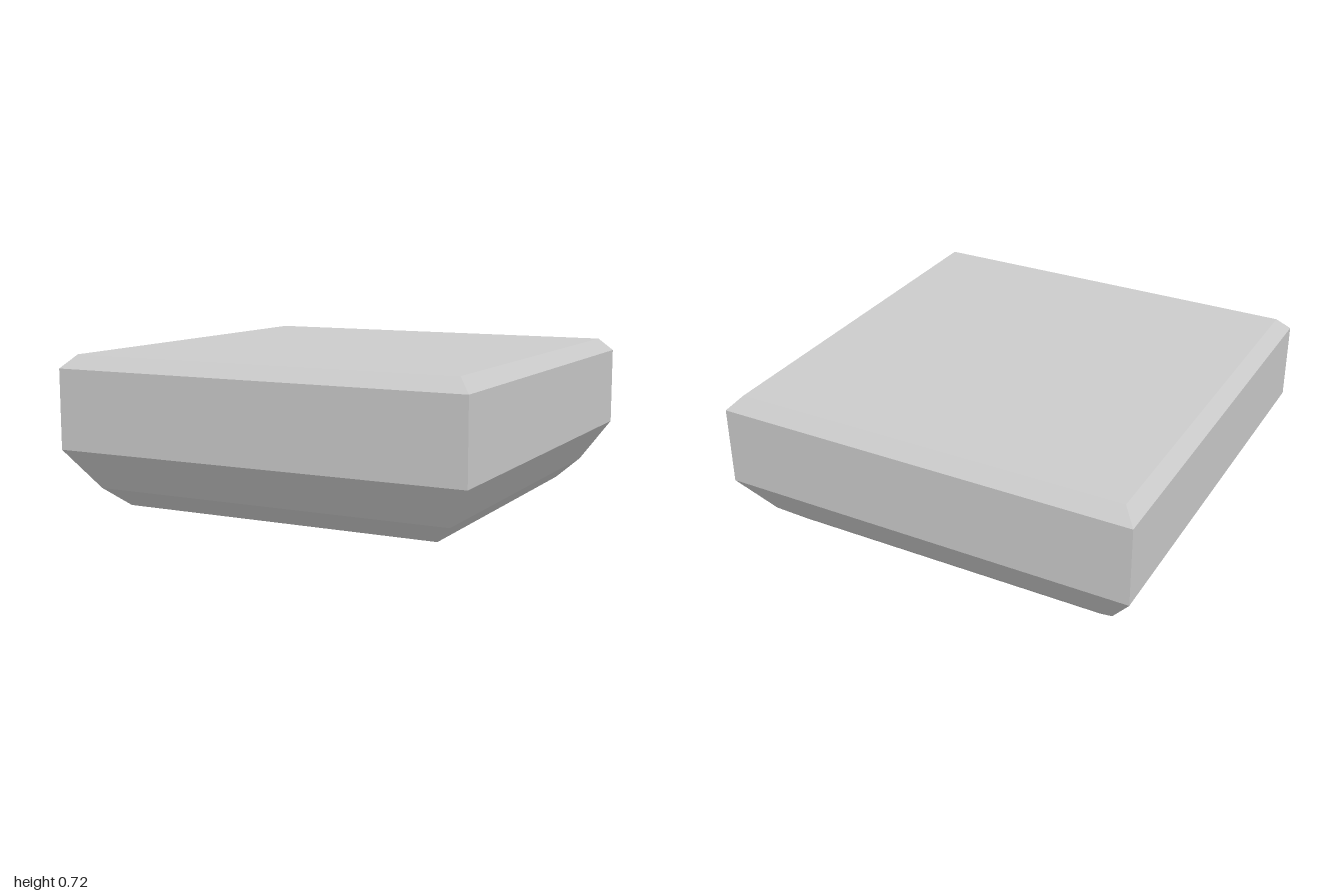
import * as THREE from 'three';

// Half-width and height of each square ring, from the underside to the top
const PROFILE = [
  [0, 0],
  [0.78, 0],
  [0.875, 0.09],
  [1, 0.28],
  [1, 0.655],
  [0.94, 0.717],
  [0, 0.717],
];

export function createModel() {
  const group = new THREE.Group();
  group.name = 'bevelledBlock';

  // Four-sided lathe turned by 45 degrees: a square block with bevelled rims
  const points = PROFILE.map(([half, y]) => new THREE.Vector2(half * Math.SQRT2, y));
  const geometry = new THREE.LatheGeometry(points, 4, Math.PI / 4).toNonIndexed();
  geometry.computeVertexNormals();

  const block = new THREE.Mesh(
    geometry,
    new THREE.MeshStandardMaterial({ color: 0xcccccc, flatShading: true })
  );
  block.name = 'block';
  group.add(block);
  return group;
}
